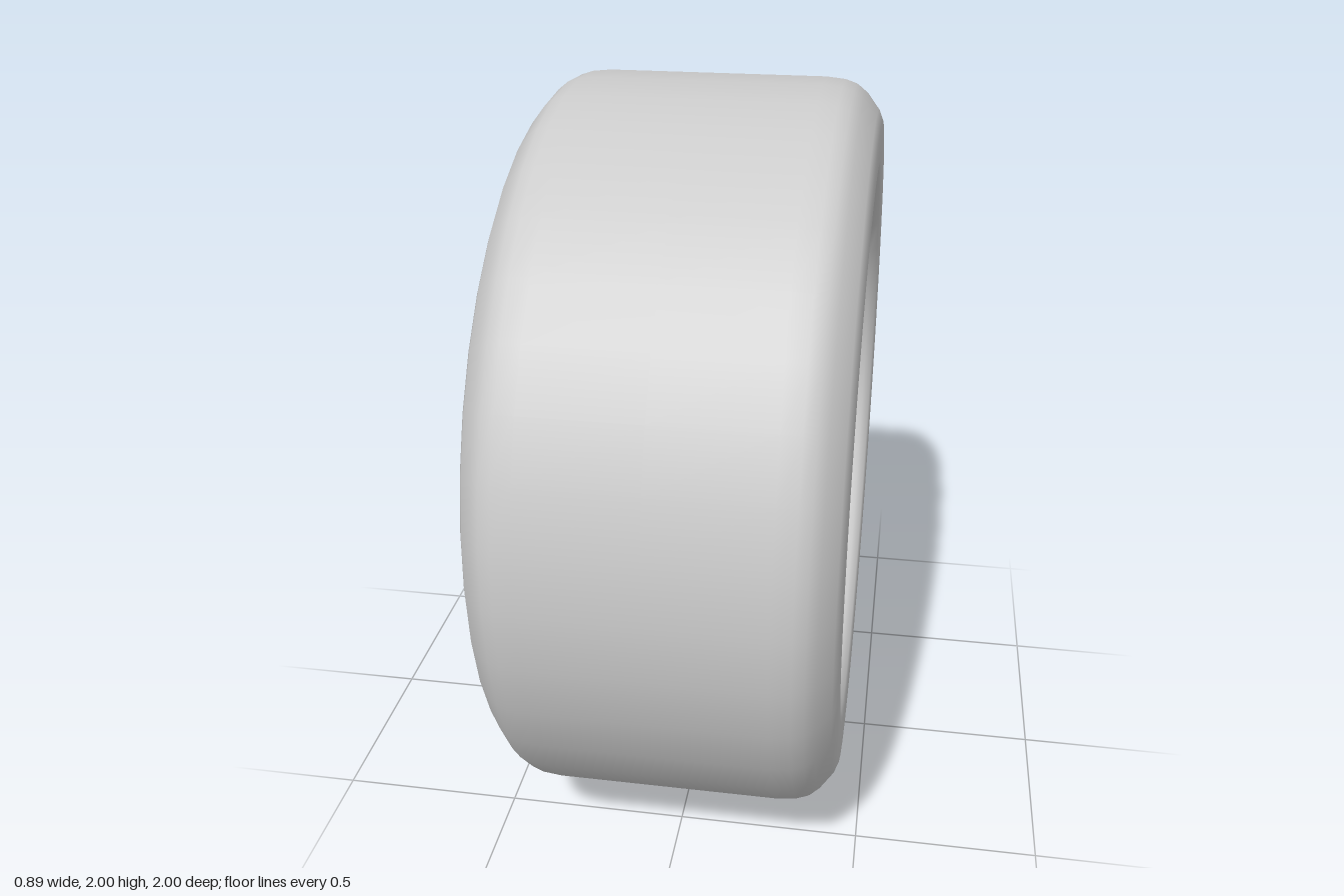
import * as THREE from 'three';
import { toCreasedNormals } from 'three/addons/utils/BufferGeometryUtils.js';

const material = new THREE.MeshStandardMaterial({ color: 0xcccccc, side: THREE.DoubleSide });
const rad = THREE.MathUtils.degToRad;
const polar = (r, deg) => new THREE.Vector2(r * Math.cos(rad(deg)), r * Math.sin(rad(deg)));

function add(parent, name, geometry) {
  const mesh = new THREE.Mesh(geometry, material);
  mesh.name = name;
  parent.add(mesh);
  return mesh;
}

// Revolve [radius, depth] points about the wheel axis (local z)
function revolve(profile, segments, crease) {
  const points = profile.map(([r, z]) => new THREE.Vector2(r, z));
  const geometry = new THREE.LatheGeometry(points, segments).rotateX(Math.PI / 2);
  return crease ? toCreasedNormals(geometry, crease) : geometry;
}

// Smooth closed opening through [radius, degrees] points, turned by `turn`
function opening(points, turn) {
  const corners = points.map(([r, a]) => {
    const p = polar(r, a + turn);
    return new THREE.Vector3(p.x, p.y, 0);
  });
  const curve = new THREE.CatmullRomCurve3(corners, true, 'centripetal');
  return new THREE.Path(curve.getPoints(48).slice(0, -1).map((p) => new THREE.Vector2(p.x, p.y)));
}

// The three swept windows of one fifth of the wheel face
const windows = [
  [[0.235, 76], [0.26, 71], [0.34, 70], [0.42, 78], [0.475, 87], [0.492, 92],
    [0.493, 103], [0.475, 105], [0.42, 98], [0.34, 92], [0.27, 90], [0.24, 86]],
  [[0.235, 100], [0.26, 97], [0.34, 99], [0.42, 105], [0.475, 110], [0.493, 114],
    [0.493, 130], [0.475, 132], [0.42, 126], [0.34, 120], [0.27, 115], [0.24, 109]],
  [[0.37, 61], [0.39, 57], [0.41, 56.5], [0.45, 60], [0.485, 65], [0.493, 69],
    [0.493, 81], [0.48, 82], [0.45, 76], [0.41, 69], [0.38, 65]],
];

const LUG_CIRCLE = 0.135;
const FACE_BACK = 0.03;
const FACE_DEPTH = 0.055;

function createFace() {
  const face = new THREE.Group();
  face.name = 'wheelFace';

  // Spoked disc with windows and lug holes
  const disc = new THREE.Shape().absarc(0, 0, 0.513, 0, Math.PI * 2);
  for (let i = 0; i < 5; i++) {
    for (const outline of windows) disc.holes.push(opening(outline, i * 72));
    const c = polar(LUG_CIRCLE, 270 + i * 72);
    disc.holes.push(new THREE.Path().absarc(c.x, c.y, 0.042, 0, Math.PI * 2, true));
  }
  const spokes = new THREE.ExtrudeGeometry(disc, {
    depth: FACE_DEPTH, curveSegments: 48,
    bevelEnabled: true, bevelThickness: 0.003, bevelSize: 0.003, bevelOffset: -0.003, bevelSegments: 1,
  });
  add(face, 'spokes', toCreasedNormals(spokes, 0.6)).position.z = FACE_BACK;

  // Recessed lug seats
  const seat = revolve([[0.024, -0.02], [0.043, -0.02], [0.043, 0.01], [0.024, 0.01], [0.024, -0.02]], 20, 0.6);
  for (let i = 0; i < 5; i++) {
    const c = polar(LUG_CIRCLE, 270 + i * 72);
    add(face, 'lugSeat', seat).position.set(c.x, c.y, 0.06);
  }

  // Centre cap
  const cap = new THREE.CylinderGeometry(0.085, 0.085, FACE_DEPTH + 0.012, 40).rotateX(Math.PI / 2);
  add(face, 'centreCap', cap).position.z = FACE_BACK + FACE_DEPTH / 2 + 0.004;

  // Ring of rim bolts
  const bolt = new THREE.SphereGeometry(0.013, 10, 6);
  for (let i = 0; i < 40; i++) {
    const c = polar(0.537, i * 9);
    add(face, 'rimBolt', bolt).position.set(c.x, c.y, 0.097);
  }
  return face;
}

export function createModel() {
  const model = new THREE.Group();
  model.name = 'carWheel';
  const wheel = new THREE.Group();
  wheel.name = 'wheel';

  // Tyre: half profile from the bead to the tread, mirrored
  const half = [[0.735, 0.30], [0.736, 0.38], [0.745, 0.415], [0.765, 0.436], [0.785, 0.442],
    [0.84, 0.443], [0.89, 0.442], [0.92, 0.43], [0.965, 0.395], [0.985, 0.37], [0.995, 0.34], [1, 0.29]];
  const tyre = [...half.map(([r, z]) => [r, -z]), [1, 0], ...half.slice().reverse()];
  add(wheel, 'tyre', revolve(tyre, 40));

  // Rim: outer shell forward, then stepped dish and open rear barrel
  add(wheel, 'rim', revolve([
    [0.69, -0.425], [0.705, -0.425], [0.71, -0.35], [0.737, -0.32], [0.737, -0.29], [0.71, -0.26],
    [0.71, 0.30], [0.737, 0.355], [0.737, 0.378], [0.728, 0.38], [0.70, 0.369], [0.675, 0.357],
    [0.667, 0.345], [0.647, 0.25], [0.64, 0.241], [0.613, 0.229], [0.606, 0.217],
    [0.589, 0.14], [0.575, 0.115], [0.55, 0.097], [0.512, 0.086], [0.512, 0.07],
    [0.53, 0.045], [0.575, -0.05], [0.64, -0.22], [0.69, -0.425],
  ], 80, 0.42));

  wheel.add(createFace());

  // Axle along x, standing on the ground
  wheel.rotation.y = Math.PI / 2;
  wheel.position.y = 1;
  model.add(wheel);
  return model;
}
